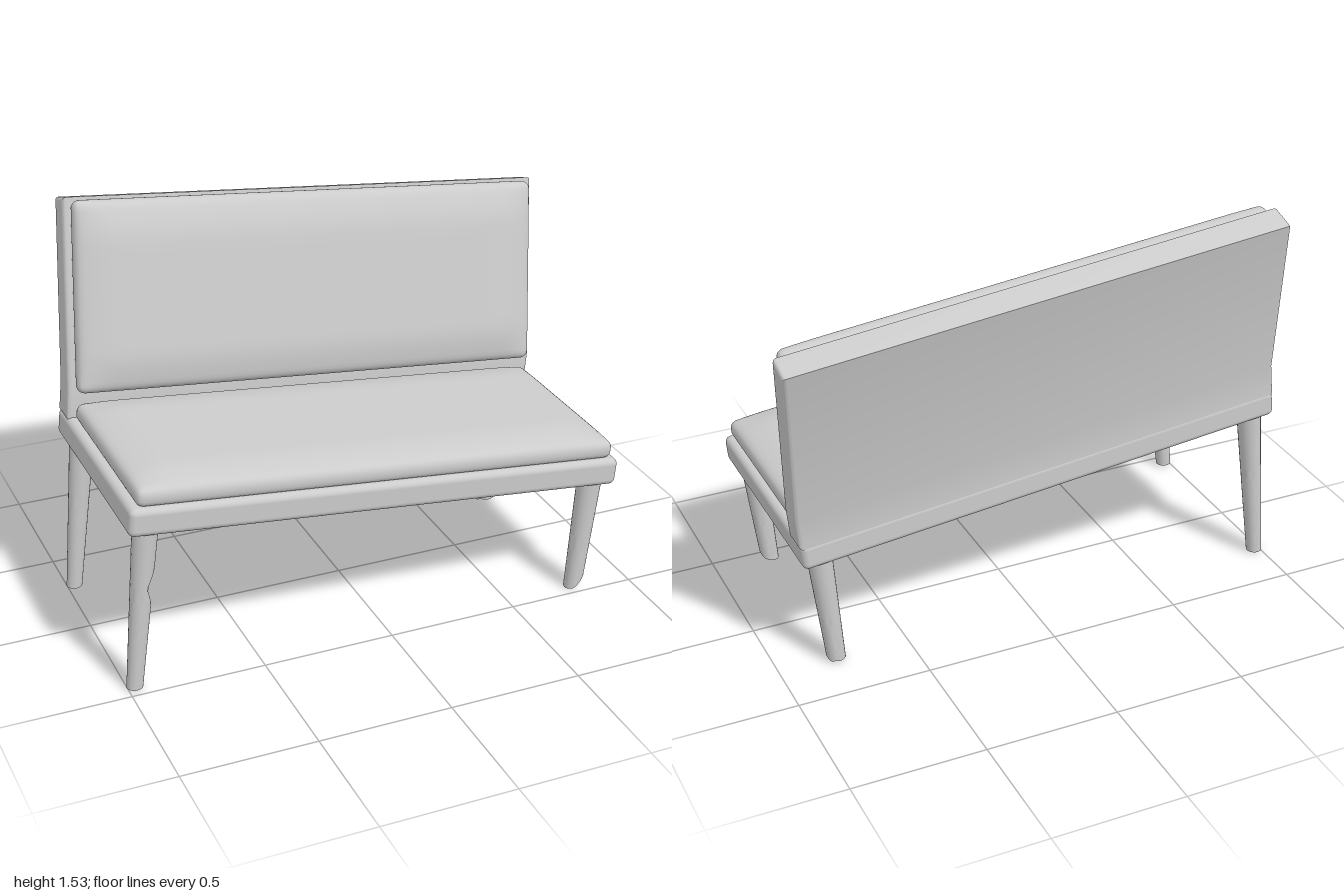
import * as THREE from 'three';
import { mergeVertices, toCreasedNormals } from 'three/addons/utils/BufferGeometryUtils.js';
import { RoundedBoxGeometry } from 'three/addons/geometries/RoundedBoxGeometry.js';

const TILT = 0.103; // the bench sags towards its broken left legs
const MID = -0.097; // middle of the bench along its own length
const material = new THREE.MeshStandardMaterial({ color: 0xcccccc });

function part(name, geometry) {
  const mesh = new THREE.Mesh(geometry, material);
  mesh.name = name;
  return mesh;
}

// Padded slab lying on y = 0: rounded edges and a softly domed top
function cushion(width, edge, depth, dome, radius) {
  let g = new THREE.BoxGeometry(2, 2, 2, 40, 10, 32);
  g.deleteAttribute('uv');
  g.deleteAttribute('normal');
  g = mergeVertices(g);
  const half = new THREE.Vector3(width / 2, edge / 2, depth / 2);
  const core = half.clone().subScalar(radius);
  const p = g.attributes.position;
  const v = new THREE.Vector3(), c = new THREE.Vector3();
  const ease = (t) => Math.sin(t * Math.PI / 2);
  const ramp = (d) => ease(THREE.MathUtils.clamp(d / 0.16, 0, 1));
  for (let i = 0; i < p.count; i++) {
    v.fromBufferAttribute(p, i);
    v.set(ease(v.x), ease(v.y), ease(v.z)).multiply(half);
    c.copy(v).clamp(core.clone().negate(), core);
    v.sub(c).setLength(radius).add(c);
    const lift = dome * ramp(half.x - Math.abs(v.x)) * ramp(half.z - Math.abs(v.z));
    p.setXYZ(i, v.x, v.y + half.y + (v.y > 0 ? lift : 0), v.z);
  }
  g.computeVertexNormals();
  return g;
}

// Tapered round leg; end(x, z) gives the height of its foot, chip hollows one side
function leg(end, chip = 0) {
  const g = new THREE.CylinderGeometry(1, 1, 1, 24, 32);
  const p = g.attributes.position;
  for (let i = 0; i < p.count; i++) {
    const x = p.getX(i), z = p.getZ(i);
    const y = THREE.MathUtils.lerp(end(x, z), 0.55, p.getY(i) + 0.5);
    const r = 0.046 - 0.026 * (0.54 - y);
    const bite = chip * Math.max(0, 1 - Math.abs(y - 0.32) / 0.08);
    p.setXYZ(i, Math.min(x * r, r - bite), y, z * r);
  }
  return toCreasedNormals(g, 0.6);
}

// Leaning back panel, extruded along the length of the bench
function backPanel() {
  const b = 0.015, length = 1.902;
  const s = new THREE.Shape([
    [-0.258, 0.645], [-0.34, 0.645], [-0.34, 0.75], [-0.497, 1.39], [-0.428, 1.413], [-0.26, 0.75],
  ].map(([z, y]) => new THREE.Vector2(z, y)));
  const g = new THREE.ExtrudeGeometry(s, {
    depth: length - 2 * b, bevelSize: b, bevelThickness: b, bevelSegments: 4,
  });
  g.translate(0, 0, b - length / 2);
  g.rotateY(-Math.PI / 2);
  return toCreasedNormals(g, 0.7);
}

export function createModel() {
  const model = new THREE.Group();
  model.name = 'bench';
  const body = new THREE.Group();
  body.name = 'tiltedBody';
  body.rotation.z = -TILT;
  model.add(body);

  // Seat base
  const base = part('seatBase', new RoundedBoxGeometry(1.9, 0.106, 0.87, 4, 0.024));
  base.position.set(MID, 0.59, 0.08);

  // Cushions
  const seat = part('seatCushion', cushion(1.85, 0.07, 0.735, 0.03, 0.03));
  seat.position.set(MID, 0.64, 0.135);
  const backCushion = part('backCushion', cushion(1.85, 0.065, 0.7, 0.035, 0.03));
  backCushion.position.set(MID, 1.082, -0.332);
  backCushion.rotation.x = Math.PI / 2 - 0.25;

  // Back
  const back = part('backPanel', backPanel());
  back.position.x = MID + 0.003;
  body.add(base, seat, backCushion, back);

  // Legs: whole on the right (one chipped), snapped off short on the left
  const whole = (x) => -0.09 + 0.003 * x;
  const snappedFront = (x, z) => 0.093 + 0.012 * x + 0.022 * Math.max(0, x + z * 0.7) ** 2;
  const snappedBack = (x, z) => 0.097 + 0.008 * x + 0.007 * x * Math.cos(5 * z);
  const legs = [
    ['frontRightLeg', -0.873, 0.45, whole, 0.03],
    ['backRightLeg', -0.873, -0.293, whole, 0],
    ['frontLeftLeg', 0.873, 0.45, snappedFront, 0],
    ['backLeftLeg', 0.873, -0.293, snappedBack, 0],
  ];
  for (const [name, x, z, end, chip] of legs) {
    const mesh = part(name, leg(end, chip));
    mesh.position.set(MID + x, 0, z);
    body.add(mesh);
  }
  return model;
}
